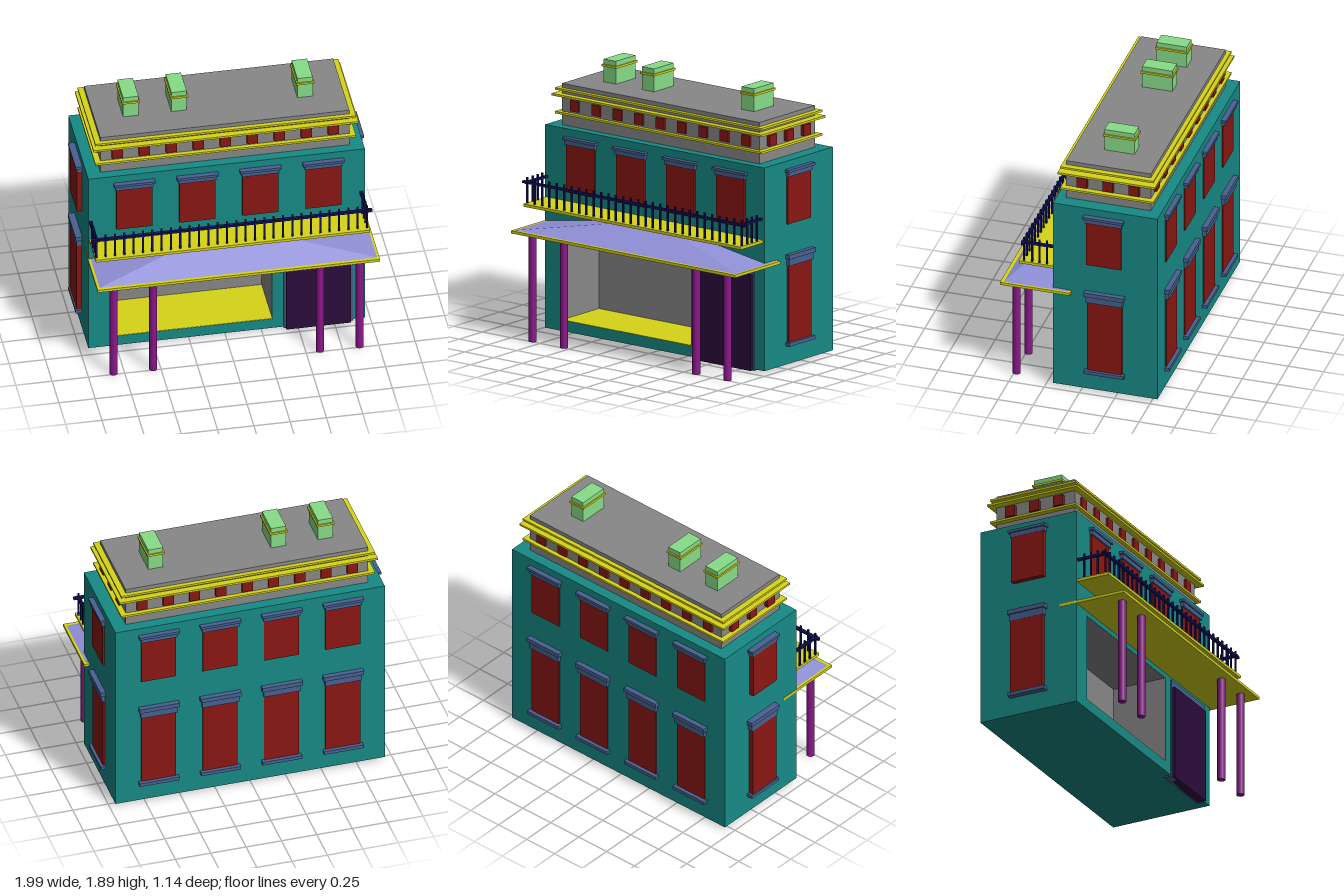
import * as THREE from 'three';

const mat = (color, side = THREE.FrontSide) => new THREE.MeshStandardMaterial({ color, side });
const teal = mat(0x178a86), red = mat(0x8a1713), grey = mat(0x888888), yellow = mat(0xd6d318);
const blue = mat(0x46618f), navy = mat(0x10105c), purple = mat(0x8a178a), green = mat(0x88dd88);
const lavender = mat(0x9090d8, THREE.DoubleSide), dark = mat(0x2c0c3c);

// Box given by its extents on each axis
function box(parent, name, material, x0, x1, y0, y1, z0, z1) {
  const mesh = new THREE.Mesh(new THREE.BoxGeometry(x1 - x0, y1 - y0, z1 - z0), material);
  mesh.position.set((x0 + x1) / 2, (y0 + y1) / 2, (z0 + z1) / 2);
  mesh.name = name;
  parent.add(mesh);
  return mesh;
}

function group(parent, name) {
  const g = new THREE.Group();
  g.name = name;
  parent.add(g);
  return g;
}

// Window standing on a wall, facing local +z
function addWindow(parent, name, x, z, turn, y0, y1, lintel, sill, out = 0.014) {
  const g = group(parent, name);
  g.position.set(x, 0, z);
  g.rotation.y = turn;
  box(g, 'pane', red, -0.123, 0.123, y0, y1, -0.01, out);
  const step = y1 + lintel * 0.58;
  box(g, 'lintelLower', blue, -0.13, 0.13, y1 - 0.005, step, -0.01, 0.026);
  box(g, 'lintelUpper', blue, -0.142, 0.142, step, y1 + lintel, -0.01, 0.036);
  if (sill) box(g, 'sill', blue, -0.14, 0.14, y0 - 0.025, y0, -0.01, 0.034);
}

// House body with the recessed shop front
function addBody(root) {
  const g = group(root, 'house');
  const wall = new THREE.Shape();
  wall.moveTo(-0.945, 0.02).lineTo(0.96, 0.02).lineTo(0.96, 1.44).lineTo(-0.945, 1.44).closePath();
  const hole = new THREE.Path();
  hole.moveTo(-0.8, 0.095).lineTo(-0.8, 0.715).lineTo(0.325, 0.715).lineTo(0.325, 0.095).closePath();
  wall.holes.push(hole);
  const front = new THREE.Mesh(new THREE.ExtrudeGeometry(wall, { depth: 0.4, bevelEnabled: false }), teal);
  front.name = 'frontWalls';
  front.position.z = -0.2;
  g.add(front);
  box(g, 'rearWalls', teal, -0.945, 0.96, 0.02, 1.44, -0.54, -0.2);
  box(g, 'shopBackWall', grey, -0.8, 0.325, 0.095, 0.715, -0.21, -0.195);
  box(g, 'shopFloor', yellow, -0.8, 0.325, 0.085, 0.098, -0.2, 0.198);
  box(g, 'shopCeiling', grey, -0.8, 0.325, 0.712, 0.722, -0.2, 0.198);
  box(g, 'shopSideWall', grey, -0.81, -0.797, 0.095, 0.715, -0.2, 0.198);
  box(g, 'shopSideWall', grey, 0.322, 0.335, 0.095, 0.715, -0.2, 0.198);
  box(g, 'doorFrame', blue, 0.4, 0.875, 0.01, 0.73, 0.15, 0.206);
  box(g, 'door', dark, 0.415, 0.86, 0.01, 0.68, 0.16, 0.225);
}

function addWindows(root) {
  const g = group(root, 'windows');
  for (let i = 0; i < 4; i++) {
    const x = -0.63 + i * 0.434;
    addWindow(g, 'frontWindow', x, 0.2, 0, 1, 1.34, 0.045, false);
    addWindow(g, 'backUpperWindow', x - 0.016, -0.54, Math.PI, 1, 1.34, 0.045, false, 0.008);
    addWindow(g, 'backLowerWindow', x - 0.016, -0.54, Math.PI, 0.175, 0.715, 0.075, true, 0.008);
  }
  for (const [x, turn, out] of [[0.96, Math.PI / 2, 0.014], [-0.955, -Math.PI / 2, 0.025]]) {
    addWindow(g, 'sideUpperWindow', x, -0.163, turn, 1, 1.34, 0.045, false, out);
    addWindow(g, 'sideLowerWindow', x, -0.169, turn, 0.175, 0.715, 0.075, true, out);
  }
}

// Attic storey with mouldings, small windows and chimneys
function addAttic(root) {
  const g = group(root, 'attic');
  box(g, 'atticWalls', grey, -0.85, 0.865, 1.44, 1.73, -0.465, 0.135);
  for (const [y, o] of [[1.52, 0.03], [1.645, 0.045], [1.685, 0.03]])
    box(g, 'moulding', yellow, -0.86 - o, 0.875 + o, y, y + 0.015, -0.465 - o, 0.135 + o);
  for (let i = 0; i < 9; i++) {
    const x = -0.735 + i * 0.186;
    box(g, 'atticWindow', red, x - 0.037, x + 0.037, 1.55, 1.625, 0.12, 0.148);
    box(g, 'atticWindow', red, x - 0.037, x + 0.037, 1.55, 1.625, -0.483, -0.45);
  }
  for (const z of [0.018, -0.166, -0.35]) {
    box(g, 'atticWindow', red, -0.877, -0.84, 1.55, 1.625, z - 0.037, z + 0.037);
    box(g, 'atticWindow', red, 0.85, 0.892, 1.55, 1.625, z - 0.037, z + 0.037);
  }
  for (const x of [-0.602, -0.27, 0.598]) {
    box(g, 'chimney', green, x - 0.053, x + 0.053, 1.72, 1.89, -0.283, -0.07);
    box(g, 'chimneyBand', yellow, x - 0.062, x + 0.062, 1.84, 1.855, -0.292, -0.061);
  }
}

// Porch canopy on columns, with a hipped roof
function addPorch(root) {
  const g = group(root, 'porch');
  box(g, 'canopySlab', yellow, -0.948, 0.997, 0.75, 0.77, 0.07, 0.565);
  const roof = new THREE.BoxGeometry(1, 1, 1);
  const p = roof.attributes.position;
  for (let i = 0; i < p.count; i++) {
    const top = p.getY(i) > 0, right = p.getX(i) > 0, front = p.getZ(i) > 0;
    p.setXYZ(i, top ? (right ? 0.075 : -0.05) : (right ? 0.98 : -0.93), top ? 0.912 : 0.77,
      front ? (top ? 0.21 : 0.54) : 0.095);
  }
  roof.computeVertexNormals();
  const mesh = new THREE.Mesh(roof, lavender);
  mesh.name = 'canopyRoof';
  g.add(mesh);
  for (const x of [-0.825, -0.552, 0.597, 0.87]) {
    const column = new THREE.Mesh(new THREE.CylinderGeometry(0.028, 0.028, 0.755, 16), purple);
    column.name = 'column';
    column.position.set(x, 0.3775, 0.485);
    g.add(column);
  }
}

// Balcony with railings on three sides
function addBalcony(root) {
  const g = group(root, 'balcony');
  box(g, 'balconyFloor', yellow, -0.938, 0.95, 0.915, 0.935, 0.19, 0.445);
  const post = (x, z) => box(g, 'railPost', navy, x - 0.006, x + 0.006, 0.93, 1.115, z - 0.006, z + 0.006);
  box(g, 'frontRail', navy, -0.965, 0.97, 1.072, 1.088, 0.402, 0.424);
  for (let i = 0; i < 30; i++) post(-0.93 + i * 0.0643, 0.413);
  for (const x of [-0.93, 0.934]) {
    box(g, 'sideRail', navy, x - 0.011, x + 0.011, 1.072, 1.088, 0.19, 0.43);
    for (const z of [0.355, 0.302, 0.25]) post(x, z);
  }
}

export function createModel() {
  const root = new THREE.Group();
  root.name = 'townHouse';
  for (const add of [addBody, addWindows, addAttic, addPorch, addBalcony]) add(root);
  return root;
}
